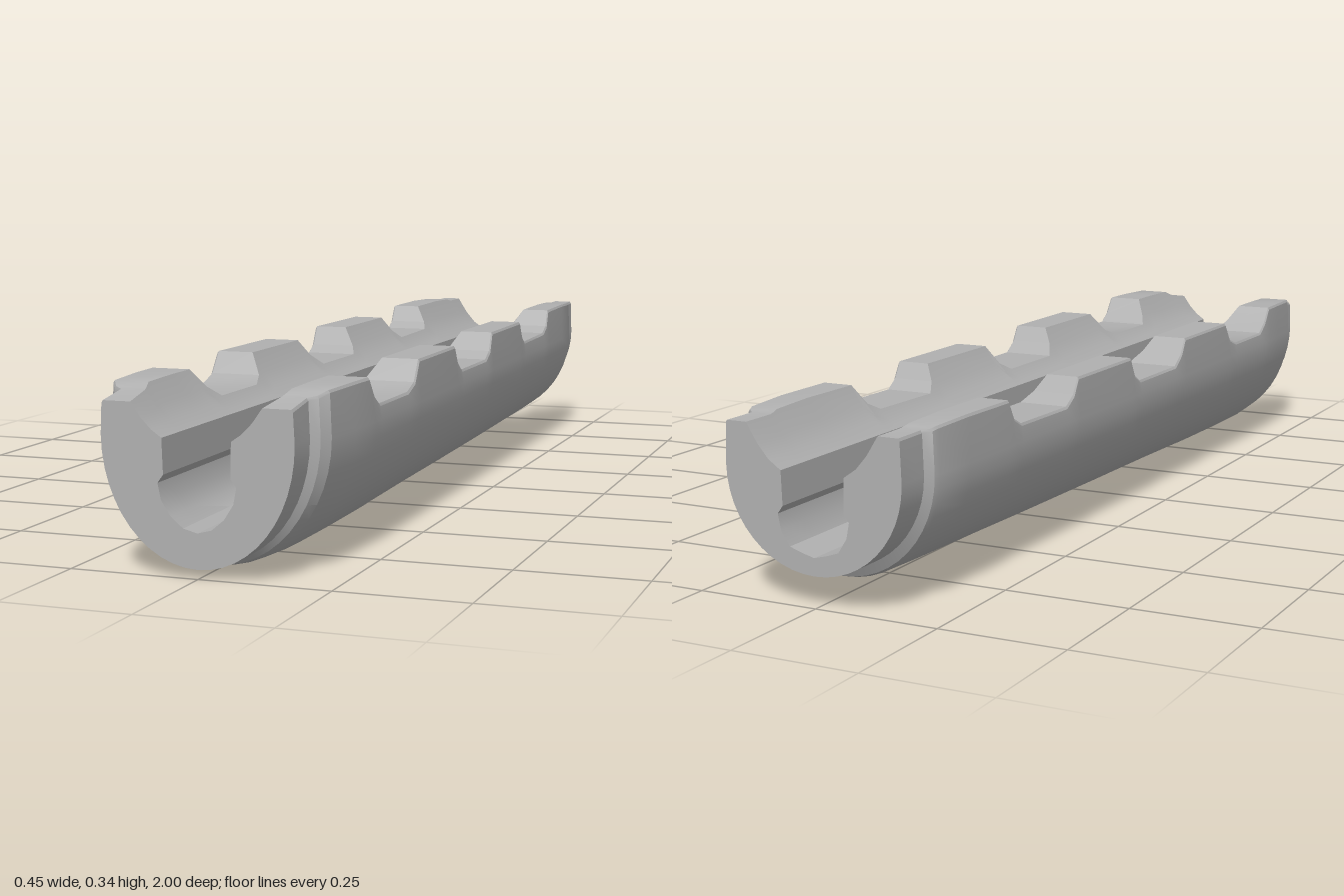
import * as THREE from 'three';
import { toCreasedNormals } from 'three/addons/utils/BufferGeometryUtils.js';

// Stations from front to back: z, half width, underside height, rim height
const STATIONS = [
  [1, 0.184, 0.02, 0.311], [0.93, 0.184, 0.02, 0.322],
  [0.92, 0.2, 0.012, 0.325], [0.9, 0.213, 0.008, 0.333], [0.8, 0.221, 0.003, 0.335],
  [0.727, 0.224, 0.004, 0.335], [0.7, 0.224, 0.004, 0.3], [0.667, 0.224, 0.004, 0.279],
  [0.5, 0.223, 0.006, 0.279], [0.46, 0.223, 0.007, 0.293], [0.43, 0.222, 0.008, 0.335],
  [0.185, 0.22, 0.014, 0.335], [0.165, 0.22, 0.014, 0.302], [0.13, 0.22, 0.015, 0.279],
  [-0.06, 0.218, 0.018, 0.279], [-0.09, 0.218, 0.019, 0.295], [-0.11, 0.217, 0.019, 0.335],
  [-0.36, 0.214, 0.024, 0.335], [-0.38, 0.214, 0.025, 0.302], [-0.41, 0.213, 0.025, 0.283],
  [-0.6, 0.211, 0.03, 0.285], [-0.63, 0.211, 0.031, 0.3], [-0.65, 0.21, 0.031, 0.338],
  [-0.8, 0.207, 0.034, 0.339], [-0.9, 0.202, 0.037, 0.336],
  [-0.912, 0.198, 0.041, 0.333], [-0.925, 0.184, 0.063, 0.331], [-1, 0.184, 0.063, 0.331],
];
const SHOULDER = 0.25; // height where the channel starts to flare open
const ARC = 12;

// Channel wall above the shoulder: x for a given height
const FLARE = [[0.25, 0.066], [0.268, 0.092], [0.295, 0.115], [0.335, 0.14], [0.345, 0.145]];
function flareX(y) {
  for (let i = 1; i < FLARE.length; i++) {
    const [y0, x0] = FLARE[i - 1], [y1, x1] = FLARE[i];
    if (y <= y1) return x0 + (x1 - x0) * (y - y0) / (y1 - y0);
  }
  return FLARE[FLARE.length - 1][1];
}

// Closed U outline, anticlockwise seen from the front
function section([z, w, bottom, top]) {
  const half = []; // +x half from bottom centre, over the rim, to channel floor
  for (let i = 0; i <= ARC; i++) {
    const a = (i / ARC) * Math.PI / 2;
    half.push([w * Math.sin(a), SHOULDER - (SHOULDER - bottom) * Math.cos(a)]);
  }
  half.push([w * 0.985, top - 0.005], [w * 0.97, top]);
  for (const f of [1, 0.55, 0.22, 0]) {
    const y = SHOULDER + (top - SHOULDER) * f;
    half.push([flareX(y), y]);
  }
  const floor = 0.091 - 0.006 * z;
  half.push([0.064, 0.185], [0.075, 0.17], [0.069, 0.14], [0.051, 0.112], [0.027, floor + 0.007], [0, floor]);
  const mirrored = half.slice(1, -1).reverse().map(([x, y]) => [-x, y]);
  return [...half, ...mirrored].map(([x, y]) => new THREE.Vector3(x, y, z));
}

function loft(rings) {
  const n = rings[0].length, position = [], index = [];
  rings.forEach(r => r.forEach(p => position.push(p.x, p.y, p.z)));
  for (let i = 0; i < rings.length - 1; i++) {
    for (let j = 0; j < n; j++) {
      const k = (j + 1) % n;
      const a = i * n + j, b = i * n + k, c = b + n, d = a + n;
      index.push(a, d, b, b, d, c);
    }
  }
  // Flat end faces
  const cap = (ring, start, flip) => {
    const outline = ring.map(p => new THREE.Vector2(p.x, p.y));
    for (const [a, b, c] of THREE.ShapeUtils.triangulateShape(outline, [])) {
      index.push(start + a, start + (flip ? c : b), start + (flip ? b : c));
    }
  };
  cap(rings[0], 0, false);
  cap(rings[rings.length - 1], (rings.length - 1) * n, true);
  const geometry = new THREE.BufferGeometry();
  geometry.setAttribute('position', new THREE.Float32BufferAttribute(position, 3));
  geometry.setIndex(index);
  return toCreasedNormals(geometry, 0.42);
}

export function createModel() {
  const group = new THREE.Group();
  group.name = 'notchedHandguard';
  const grey = new THREE.MeshStandardMaterial({ color: 0xb0b0b0 });
  grey.name = 'plain grey';
  const shell = new THREE.Mesh(loft(STATIONS.map(section)), grey);
  shell.name = 'notchedChannelShell';
  group.add(shell);
  return group;
}
